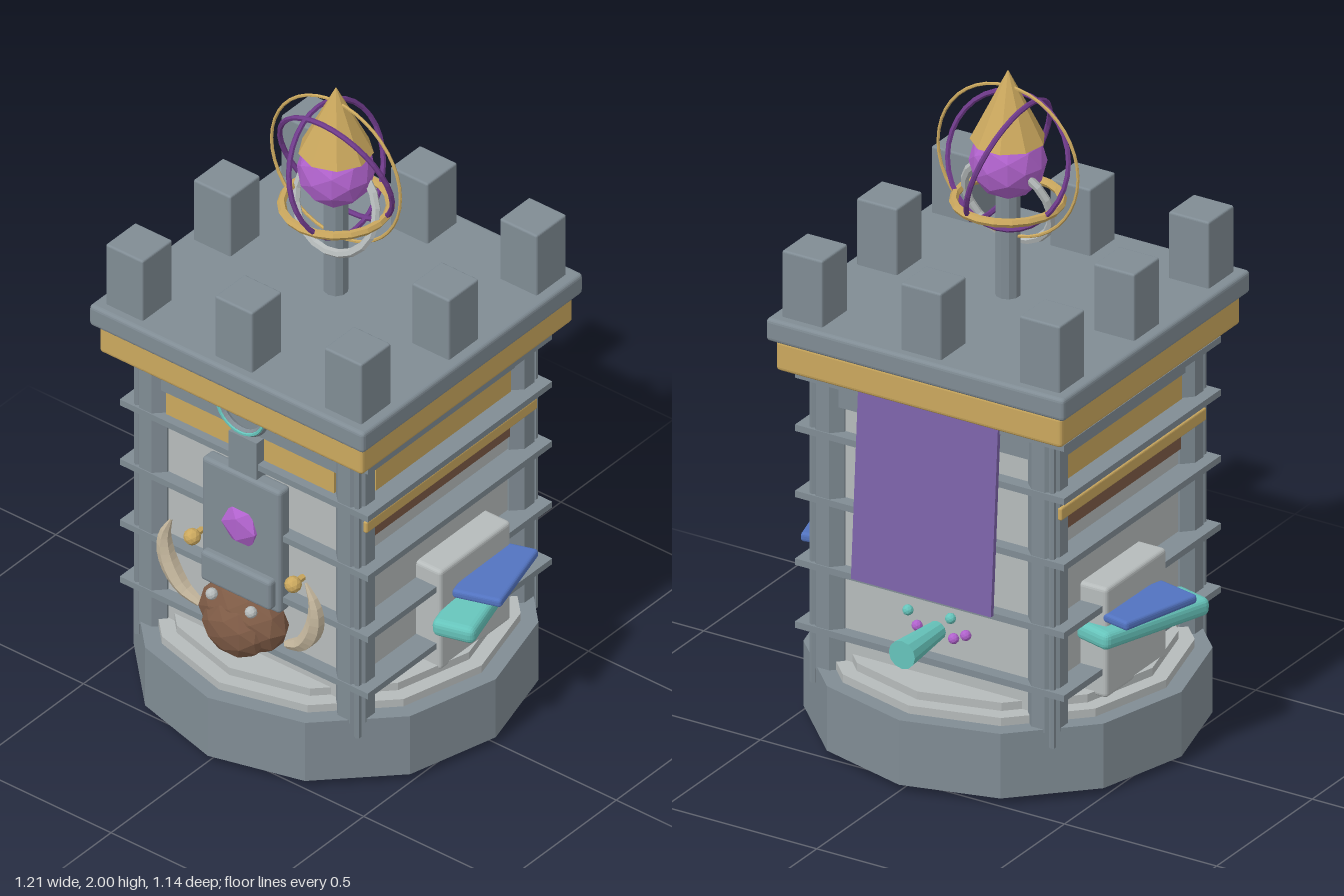
import * as THREE from 'three';
import { RoundedBoxGeometry } from 'three/addons/geometries/RoundedBoxGeometry.js';

const mat = (name, color, extra = {}) => {
  const m = new THREE.MeshStandardMaterial({ color, ...extra });
  m.name = name;
  return m;
};

export function createModel() {
  const stone = mat('stone', 0x808c94, { flatShading: true });
  const pale = mat('paleStone', 0xb6bbbb, { flatShading: true });
  const gold = mat('gold', 0xcba85e, { flatShading: true });
  const gem = mat('gemPurple', 0xb062cc, { flatShading: true });
  const violet = mat('violet', 0x6f3a8a, { flatShading: true });
  const cloth = mat('bannerCloth', 0x7c63a8, { flatShading: true });
  const teal = mat('teal', 0x66c4bb, { flatShading: true });
  const blue = mat('blue', 0x5273c0, { flatShading: true });
  const brown = mat('brown', 0x7d5a45, { flatShading: true });
  const cream = mat('horn', 0xc8baa0, { flatShading: true });

  const model = new THREE.Group();
  model.name = 'tower';
  const add = (name, geo, material, x = 0, y = 0, z = 0, rot = [0, 0, 0]) => {
    const m = new THREE.Mesh(geo, material);
    m.name = name;
    m.position.set(x, y, z);
    m.rotation.set(...rot);
    model.add(m);
    return m;
  };
  const box = (w, h, d) => new THREE.BoxGeometry(w, h, d);
  const rbox = (w, h, d, r = 0.012) => new RoundedBoxGeometry(w, h, d, 2, r);
  const cyl = (rt, rb, h, n) => new THREE.CylinderGeometry(rt, rb, h, n);
  const torus = (r, t, n = 32) => new THREE.TorusGeometry(r, t, 6, n);

  // Foundation with pads underneath
  add('foundation', cyl(0.57, 0.57, 0.2, 12), stone, 0, 0.12, 0);
  add('lowerStep', cyl(0.52, 0.52, 0.03, 12), pale, 0, 0.23, 0);
  add('upperStep', cyl(0.475, 0.475, 0.05, 12), pale, 0, 0.245, 0);
  for (const x of [-0.18, 0.18])
    for (const z of [-0.18, 0.18]) add('footPad', rbox(0.2, 0.04, 0.2), stone, x, 0.02, z);
  add('footCross', box(0.16, 0.02, 0.04), stone, 0, 0.017, 0);
  add('footCross', box(0.04, 0.02, 0.16), stone, 0, 0.017, 0);

  // Walls, corner pillars and horizontal courses
  add('walls', box(0.74, 0.92, 0.74), pale, 0, 0.68, 0);
  for (const x of [-1, 1])
    for (const z of [-1, 1]) {
      add('pillar', cyl(0.057, 0.057, 0.91, 8), stone, x * 0.354, 0.665, z * 0.354, [0, Math.PI / 8, 0]);
      add('capital', cyl(0.066, 0.066, 0.025, 12), pale, x * 0.354, 1.13, z * 0.354);
      add('cornerRod', cyl(0.01, 0.01, 0.94, 6), stone, x * 0.393, 0.635, z * 0.393);
    }
  for (const y of [0.335, 0.53, 0.74, 0.945, 1.11])
    add('course', box(0.885, 0.02, 0.82), stone, 0, y, 0);
  add('topBeam', box(0.775, 0.075, 0.775), stone, 0, 1.07, 0);
  add('frontGoldBand', box(0.6, 0.078, 0.02), gold, 0, 0.993, 0.373);
  for (const s of [-1, 1]) {
    add('sideGoldBand', box(0.02, 0.078, 0.6), gold, s * 0.373, 0.993, 0);
    add('sideGoldRail', rbox(0.03, 0.04, 0.76, 0.006), gold, s * 0.4, 0.885, 0);
    add('sideBrownPanel', box(0.02, 0.065, 0.6), brown, s * 0.37, 0.832, 0);
  }

  // Roof slabs and battlements
  add('goldCornice', rbox(0.94, 0.095, 0.94), gold, 0, 1.188, 0);
  add('roofSlab', rbox(0.98, 0.07, 0.98), stone, 0, 1.27, 0);
  for (const x of [-0.39, 0, 0.39])
    for (const z of [-0.39, 0, 0.39])
      if (x || z) add('merlon', rbox(0.133, 0.23, 0.133, 0.006), stone, x, 1.395, z);

  // Finial: orb, cone and rings on a post
  add('finialPost', cyl(0.036, 0.036, 0.33, 10), stone, 0, 1.46, 0);
  add('orb', new THREE.IcosahedronGeometry(0.11, 1), gem, 0, 1.72, 0);
  add('finialCone', new THREE.ConeGeometry(0.107, 0.215, 9), gold, 0, 1.893, 0);
  add('outerRing', torus(0.23, 0.005, 40), gold, 0, 1.72, 0);
  add('sideOrbitRing', torus(0.195, 0.008), violet, 0, 1.72, 0, [0, Math.PI / 2, 0.33]).rotation.order = 'ZYX';
  add('frontOrbitRing', torus(0.195, 0.008), violet, 0, 1.72, 0, [0.32, 0, 0]);
  add('flatRing', torus(0.152, 0.013, 20), gold, 0, 1.598, 0, [Math.PI / 2, 0, 0]);
  add('paleRing', torus(0.14, 0.013, 20), pale, 0, 1.595, 0, [-0.3, 0, 0]);

  // Front plaque with gem and hanging ring
  add('plaque', rbox(0.28, 0.42, 0.05), stone, 0, 0.695, 0.4);
  add('plaqueHanger', box(0.1, 0.16, 0.04), stone, 0, 0.95, 0.395);
  add('hangerRing', torus(0.083, 0.012), stone, 0, 1.135, 0.415);
  add('hangerRingInlay', torus(0.083, 0.006), teal, 0, 1.135, 0.424);
  add('plaqueGem', new THREE.IcosahedronGeometry(0.07, 0), gem, 0, 0.728, 0.42).scale.z = 0.45;
  add('browPlate', rbox(0.25, 0.1, 0.07), stone, 0, 0.553, 0.415);

  // Horned beast head
  add('head', new THREE.IcosahedronGeometry(0.15, 1), brown, 0, 0.415, 0.41).scale.set(1, 0.72, 0.55);
  add('muzzle', new THREE.IcosahedronGeometry(0.11, 1), brown, 0, 0.395, 0.445).scale.set(1, 0.82, 0.62);
  const hornPath = [[0.155, 0.385], [0.215, 0.42], [0.262, 0.5], [0.268, 0.58], [0.24, 0.65]];
  const hornGeometry = (s) => {
    const curve = new THREE.CatmullRomCurve3(hornPath.map(([x, y], i) => new THREE.Vector3(s * x, y, 0.41 + 0.006 * i)));
    const geo = new THREE.TubeGeometry(curve, 12, 1, 6);
    const p = geo.attributes.position;
    // Taper each ring towards both ends
    for (let i = 0; i < p.count; i++) {
      const t = Math.floor(i / 7) / 12, c = curve.getPointAt(t);
      const r = 0.004 + 0.024 * Math.sin(Math.PI * (0.12 + 0.88 * t));
      p.setXYZ(i, c.x + (p.getX(i) - c.x) * r, c.y + (p.getY(i) - c.y) * r, c.z + (p.getZ(i) - c.z) * r);
    }
    geo.computeVertexNormals();
    return geo;
  };
  for (const s of [-1, 1]) {
    add('horn', hornGeometry(s), cream);
    add('eye', new THREE.IcosahedronGeometry(0.018, 1), pale, s * 0.07, 0.487, 0.465);
    add('goldStud', new THREE.IcosahedronGeometry(0.025, 1), gold, s * 0.18, 0.605, 0.415);
    add('studPin', cyl(0.01, 0.01, 0.06, 6), gold, s * 0.18, 0.605, 0.385, [Math.PI / 2, 0, 0]);
  }

  // Side brackets carrying stacked angled trays
  for (const s of [-1, 1]) {
    add('sideBracket', rbox(0.1, 0.34, 0.315), pale, s * 0.407, 0.425, -0.053);
    add('tealTray', rbox(0.13, 0.055, 0.4, 0.02), teal, s * 0.475, 0.445, -0.05, [0.04, s * 0.27, 0]);
    add('blueTray', rbox(0.15, 0.028, 0.27, 0.01), blue, s * 0.5, 0.505, -0.085, [0, s * 0.27, s * 0.04]);
  }

  // Back banner, spout and droplets
  add('banner', box(0.46, 0.58, 0.014), cloth, 0, 0.84, -0.43, [0.065, 0, 0]);
  add('spout', cyl(0.043, 0.028, 0.19, 12), teal, 0, 0.416, -0.46, [-Math.PI / 2, 0, 0]);
  const drops = [[0.09, 0.46, teal], [0.06, 0.42, gem], [-0.06, 0.41, gem], [-0.1, 0.43, gem], [-0.05, 0.47, teal]];
  for (const [x, y, m] of drops)
    add('droplet', new THREE.IcosahedronGeometry(0.016, 1), m, x, y, -0.38);

  return model;
}
